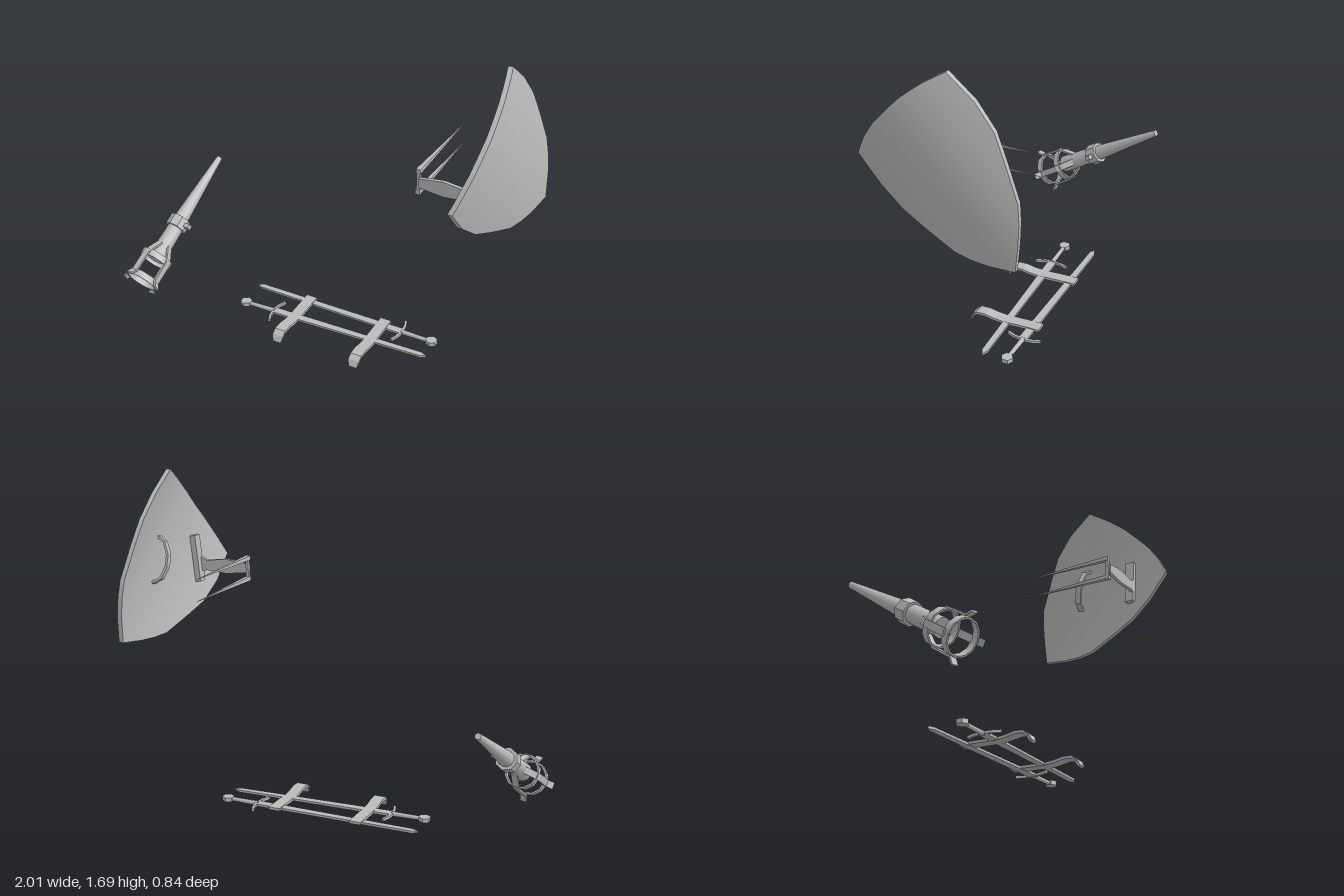
import * as THREE from 'three';
import { toCreasedNormals } from 'three/addons/utils/BufferGeometryUtils.js';

const metal = new THREE.MeshStandardMaterial({ color: 0xbbbbbb });
metal.name = 'plain grey';

function part(parent, name, geometry, x = 0, y = 0, z = 0) {
  const mesh = new THREE.Mesh(geometry, metal);
  mesh.name = name;
  mesh.position.set(x, y, z);
  parent.add(mesh);
  return mesh;
}

function group(parent, name) {
  const g = new THREE.Group();
  g.name = name;
  parent.add(g);
  return g;
}

// flat outline given depth, centred on z = 0
function plate(points, depth) {
  const shape = new THREE.Shape(points.map(([x, y]) => new THREE.Vector2(x, y)));
  return new THREE.ExtrudeGeometry(shape, { depth, bevelEnabled: false }).translate(0, 0, -depth / 2);
}

// bent strip following a path in the xy plane
function strip(path, thickness, width) {
  const side = (sign) => path.map(([x, y], i) => {
    const a = path[Math.max(i - 1, 0)];
    const b = path[Math.min(i + 1, path.length - 1)];
    const dx = b[0] - a[0], dy = b[1] - a[1];
    const k = (sign * thickness) / 2 / Math.hypot(dx, dy);
    return [x - dy * k, y + dx * k];
  });
  return plate([...side(1), ...side(-1).reverse()], width);
}

// curved shield: cross-sections [b, aMin, aMax] across its width
function shieldGeometry() {
  const half = [[0, -0.052, 0.803], [0.105, -0.05, 0.72], [0.175, -0.041, 0.655], [0.23, -0.032, 0.59],
    [0.3, -0.014, 0.43], [0.347, 0, 0.31], [0.363, 0.164, 0.164]];
  const sections = [...half.slice(1).reverse().map(([b, lo, hi]) => [-b, lo, hi]), ...half];
  const thickness = 0.024;
  const positions = [], index = [];
  const point = (a, b, out) => positions.push(
    0.91 + 0.08 * a - 0.072 * b - 0.457 * b * b + out,
    1.438 - 0.685 * a - 0.729 * b,
    0.178 - 0.729 * a + 0.685 * b);
  sections.forEach(([b, lo, hi], j) => {
    point(lo, b, 0);
    point(hi, b, 0);
    point(hi, b, thickness);
    point(lo, b, thickness);
    if (j === 0) return;
    for (let k = 0; k < 4; k++) {
      const n = (k + 1) % 4, p = (j - 1) * 4, q = j * 4;
      index.push(p + k, p + n, q + n, p + k, q + n, q + k);
    }
  });
  const g = new THREE.BufferGeometry();
  g.setAttribute('position', new THREE.Float32BufferAttribute(positions, 3));
  g.setIndex(index);
  return toCreasedNormals(g, 0.6);
}

function addShield(root) {
  const shield = group(root, 'shield');
  part(shield, 'shieldBoard', shieldGeometry());
  // curved grip on the inner face
  const grip = strip([[-0.117, 0], [-0.09, 0.045], [-0.03, 0.07], [0.03, 0.07], [0.09, 0.045], [0.117, 0]], 0.012, 0.03);
  part(shield, 'shieldGrip', grip.rotateZ(Math.PI / 2), 0.942, 1.25, -0.13).rotation.x = 0.26;

  // wall bracket with two long spikes
  const bracket = group(root, 'shieldBracket');
  part(bracket, 'mountPlate', new THREE.BoxGeometry(0.03, 0.24, 0.05), 0.88, 1.2, 0.18).rotation.z = -0.11;
  part(bracket, 'bracketArm', plate([[0.6, 1.145], [0.72, 1.13], [0.83, 1.138], [0.875, 1.13],
    [0.875, 1.21], [0.83, 1.19], [0.72, 1.205], [0.6, 1.19]], 0.018), 0, 0, 0.197);
  part(bracket, 'spikeLink', new THREE.BoxGeometry(0.014, 0.12, 0.018), 0.596, 1.168, 0.19);
  for (const y of [1.222, 1.115]) {
    const spike = new THREE.CylinderGeometry(0.001, 0.016, 0.54, 4).toNonIndexed();
    spike.computeVertexNormals();
    spike.rotateY(Math.PI / 4).rotateX(-Math.PI / 2);
    part(bracket, 'spike', spike, 0.596, y, -0.07);
  }
}

// sword lying flat: pommel at the origin, blade along +x
function addSword(root, x, y, z, turn) {
  const sword = group(root, 'sword');
  sword.position.set(x, y, z);
  sword.rotation.y = turn;
  const pommel = toCreasedNormals(new THREE.CylinderGeometry(0.031, 0.031, 0.022, 6), 0.5);
  part(sword, 'pommel', pommel);
  part(sword, 'hilt', new THREE.CylinderGeometry(0.013, 0.011, 0.15, 8).rotateZ(-Math.PI / 2), 0.095);
  const guard = strip([[0.187, -0.088], [0.172, -0.05], [0.165, 0], [0.172, 0.05], [0.187, 0.088]], 0.013, 0.014);
  part(sword, 'guard', guard.rotateX(Math.PI / 2));
  const blade = plate([[0.165, -0.022], [1.0, -0.015], [1.03, 0], [1.0, 0.015], [0.165, 0.022]], 0.012);
  part(sword, 'blade', blade.rotateX(Math.PI / 2));
}

function addSwordRack(root) {
  addSword(root, 0.56, 0.045, -0.147, Math.PI - 0.0175);
  addSword(root, -0.445, 0.043, 0, 0.024);
  // hooked straps under the swords, narrowing at the hook
  const path = [[-0.195, 0.05], [-0.1, 0.047], [0, 0.042], [0.05, 0.046], [0.1, 0.055],
    [0.145, 0.053], [0.167, 0.035], [0.182, 0.006]];
  for (const x of [-0.155, 0.28]) {
    const strap = strip(path, 0.014, 0.06).rotateY(-Math.PI / 2);
    const p = strap.attributes.position;
    for (let i = 0; i < p.count; i++) if (p.getY(i) < 0.02) p.setX(i, p.getX(i) * 0.7);
    strap.computeVertexNormals();
    part(root, 'swordStrap', strap, x);
  }
}

// torch: built along local +y from the thin end to the basket
function addTorch(root) {
  const torch = group(root, 'torch');
  torch.position.set(-0.812, 0.645, -0.36);
  torch.quaternion.setFromUnitVectors(new THREE.Vector3(0, 1, 0), new THREE.Vector3(-0.08, -0.43, 0.66).normalize());

  part(torch, 'torchHandle', new THREE.CylinderGeometry(0.042, 0.016, 0.43, 12), 0, 0.215);
  part(torch, 'torchHead', new THREE.CylinderGeometry(0.046, 0.042, 0.24, 12), 0, 0.54);
  const collar = new THREE.CylinderGeometry(0.057, 0.057, 0.06, 8);
  part(torch, 'collar', toCreasedNormals(collar, 0.5), 0, 0.43);
  part(torch, 'collarPin', new THREE.BoxGeometry(0.04, 0.024, 0.024), 0.065, 0.43);

  // basket: two flat hoops and four flared ribs
  const hoop = [[0.079, -0.017], [0.088, -0.017], [0.088, 0.017], [0.079, 0.017], [0.079, -0.017]];
  for (const y of [0.655, 0.78]) {
    const band = new THREE.LatheGeometry(hoop.map(([r, h]) => new THREE.Vector2(r, h)), 12);
    part(torch, 'basketHoop', toCreasedNormals(band, 0.6), 0, y);
  }
  const rib = strip([[0.036, 0.57], [0.07, 0.625], [0.088, 0.66], [0.09, 0.775], [0.116, 0.805]], 0.01, 0.034);
  for (let i = 0; i < 4; i++) part(torch, 'basketRib', rib).rotation.y = (i * Math.PI) / 2;
}

export function createModel() {
  const root = new THREE.Group();
  root.name = 'wallArms';
  addShield(root);
  addSwordRack(root);
  addTorch(root);
  return root;
}
